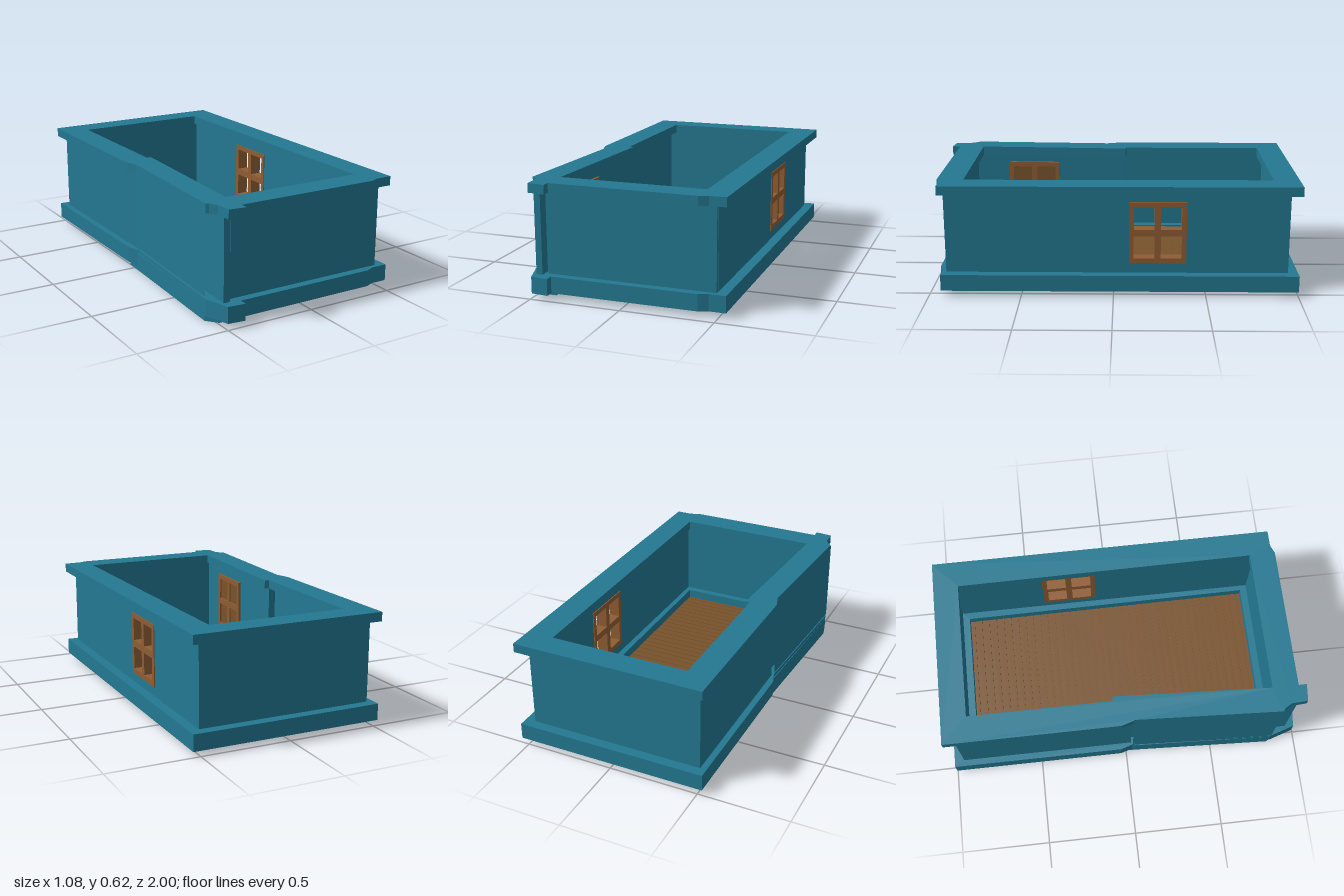
import * as THREE from 'three';

const mat = (name, color) => {
  const m = new THREE.MeshStandardMaterial({ color });
  m.name = name;
  return m;
};

export function createModel() {
  const house = new THREE.Group();
  house.name = 'openHouse';
  const blue = mat('bluePaint', 0x237891);
  const floorWood = mat('floorWood', 0x78522c);
  const frameWood = mat('frameWood', 0x8f5d33);
  const grey = mat('greyBeam', 0xa0a0a0);

  const add = (name, geometry, material, parent = house) => {
    const mesh = new THREE.Mesh(geometry, material);
    mesh.name = name;
    parent.add(mesh);
    return mesh;
  };
  const toPoints = (list) => list.map(([a, b]) => new THREE.Vector2(a, b));
  // Box given by its limits on each axis
  const box = (name, x0, x1, y0, y1, z0, z1, material, parent) => {
    const g = new THREE.BoxGeometry(x1 - x0, y1 - y0, z1 - z0);
    g.translate((x0 + x1) / 2, (y0 + y1) / 2, (z0 + z1) / 2);
    return add(name, g, material, parent);
  };
  // Upright prism from a plan of [x, z] points
  const prism = (name, plan, y0, y1, material, hole) => {
    const shape = new THREE.Shape(toPoints(plan));
    if (hole) shape.holes.push(new THREE.Path(toPoints(hole)));
    const g = new THREE.ExtrudeGeometry(shape, { depth: y1 - y0, bevelEnabled: false });
    g.rotateX(Math.PI / 2).translate(0, y1, 0);
    return add(name, g, material);
  };
  const rect = (a0, b0, a1, b1) => [[a0, b0], [a1, b0], [a1, b1], [a0, b1]];
  // Side panel of [z, y] points with holes, thickness running toward -x
  const sidePanel = (name, outline, holes, outerX, depth, material, parent) => {
    const shape = new THREE.Shape(toPoints(outline));
    holes.forEach((h) => shape.holes.push(new THREE.Path(toPoints(h))));
    const g = new THREE.ExtrudeGeometry(shape, { depth, bevelEnabled: false });
    g.rotateY(-Math.PI / 2).translate(outerX, 0, 0);
    return add(name, g, material, parent);
  };

  // Base and top rims: uneven plan with an open middle
  const rim = (corner) => [
    [-0.525, -1], [0.54, -1], [0.54, 0.935], [0.45, 0.935], [0.4, 0.955], [-0.4, 0.955],
    [-0.4, 1], [-0.495, 0.99], ...corner, [-0.54, 0.85], [-0.5, 0.05], [-0.525, -0.03],
  ];
  const opening = [
    [-0.38, -0.86], [0.39, -0.86], [0.4, 0.81], [-0.4, 0.81], [-0.355, -0.06], [-0.38, -0.065],
  ];
  prism('baseRim', rim([]), 0.03, 0.12, blue, opening);
  prism('topRim', rim([[-0.5, 0.9], [-0.525, 0.86]]), 0.565, 0.615, blue, opening);

  // Skewed footing under the left front wall
  prism('footing', [[-0.5, -0.06], [-0.54, 0.84], [-0.49, 0.9], [-0.4, 0.9], [-0.375, -0.06]],
    0, 0.1, blue);

  // Walls
  const low = 0.11, high = 0.575;
  box('backWall', -0.49, 0.485, low, high, -0.945, -0.9, blue);
  box('frontWall', -0.435, 0.483, low, high, 0.85, 0.91, blue);
  sidePanel('windowWall', rect(-0.944, low, 0.89, high), [rect(-0.385, 0.18, -0.09, 0.515)],
    0.485, 0.055, blue);
  box('rearSideWall', -0.49, -0.43, low, high, -0.944, 0.03, blue);
  prism('frontSideWall', [
    [-0.455, -0.05], [-0.49, 0.94], [-0.455, 0.94], [-0.455, 0.88], [-0.43, 0.88], [-0.39, -0.05],
  ], low, high, blue);

  // Outer skin of the skewed wall, flush with the rims
  const skin = new THREE.BufferGeometry();
  skin.setAttribute('position', new THREE.Float32BufferAttribute([
    -0.504, 0.135, 0.04, -0.543, 0.135, 0.85, -0.543, 0.612, 0.85, -0.504, 0.612, 0.04,
  ], 3));
  skin.setIndex([0, 1, 2, 0, 2, 3]);
  skin.computeVertexNormals();
  add('outerSkin', skin, blue);

  // Four-pane frame centred on its own z
  const windowFrame = (name, outerX, depth, parent) => {
    const panes = [];
    for (const z of [-0.129, 0.017]) {
      for (const y of [0.203, 0.365]) panes.push(rect(z, y, z + 0.112, y + 0.125));
    }
    return sidePanel(name, rect(-0.155, 0.173, 0.155, 0.518), panes, outerX, depth, frameWood, parent);
  };
  windowFrame('windowFrame', 0.49, 0.065).position.z = -0.2375;

  // Shuttered window on the inside of the skewed wall
  const shutter = new THREE.Group();
  shutter.name = 'shutteredWindow';
  shutter.position.set(-0.413, 0, 0.5);
  shutter.rotation.y = -0.043;
  house.add(shutter);
  windowFrame('shutterFrame', 0.014, 0.02, shutter);
  box('shutterBoard', -0.01, 0.006, 0.18, 0.51, -0.15, 0.15, floorWood, shutter);

  // Floor: backing board with narrow planks across it
  box('floorBoard', -0.415, 0.415, 0.045, 0.06, -0.875, 0.83, floorWood);
  const pitch = 0.045;
  for (let i = 0; i < 38; i++) {
    const z = -0.88 + i * pitch;
    box('floorPlank', -0.41, 0.41, 0.058, 0.07, z + 0.002, z + pitch - 0.002, floorWood);
  }
  box('floorBeam', -0.4, 0.4, 0.041, 0.046, 0.14, 0.175, grey);

  return house;
}
